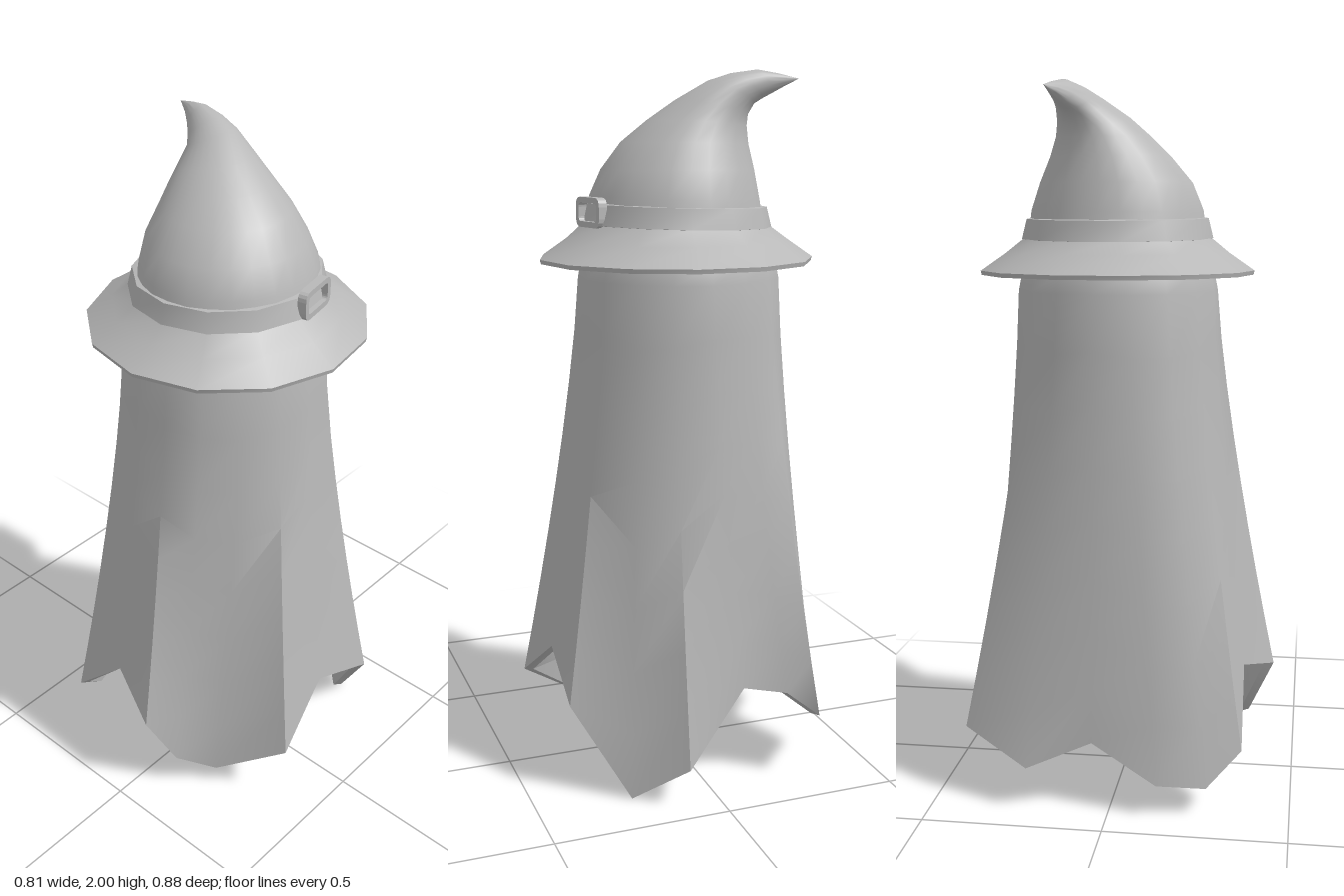
import * as THREE from 'three';
import { toCreasedNormals } from 'three/addons/utils/BufferGeometryUtils.js';

const clothGrey = new THREE.MeshStandardMaterial({ color: 0xb8b8b8 });
clothGrey.name = 'clothGrey';

// Skin a list of closed rings; rings listed upwards face outwards
function loft(rings, crease) {
  const n = rings[0].length, pos = [], idx = [];
  rings.forEach(r => r.forEach(p => pos.push(p.x, p.y, p.z)));
  for (let i = 0; i < rings.length - 1; i++) {
    for (let j = 0; j < n; j++) {
      const a = i * n + j, b = i * n + (j + 1) % n;
      idx.push(a, a + n, b, b, a + n, b + n);
    }
  }
  const g = new THREE.BufferGeometry();
  g.setAttribute('position', new THREE.Float32BufferAttribute(pos, 3));
  g.setIndex(idx);
  return toCreasedNormals(g, crease);
}

// Ring spanning a left and a right point, and a back and a front depth
function ring(n, start, [xl, yl], [xr, yr], zBack, zFront) {
  return Array.from({ length: n }, (_, j) => {
    const a = start + j / n * Math.PI * 2, c = Math.cos(a), s = Math.sin(a);
    return new THREE.Vector3(
      (xl + xr) / 2 + c * (xr - xl) / 2,
      (yl + yr) / 2 + c * (yr - yl) / 2,
      (zBack + zFront) / 2 + s * (zFront - zBack) / 2);
  });
}

function add(group, name, geometry) {
  const m = new THREE.Mesh(geometry, clothGrey);
  m.name = name;
  group.add(m);
  return m;
}

// Ragged hem corners, running round from the front notch
const HEM = [
  [-.12, .355, .36], [-.31, .17, .365], [-.36, .075, .27], [-.395, .09, .135],
  [-.36, .19, -.05], [-.395, .12, -.23], [-.31, .2, -.42], [-.23, .26, -.37],
  [-.1, .29, -.36], [.095, .11, -.445], [.23, 0, -.34], [.38, .26, -.245],
  [.37, .355, -.02], [.405, .21, .18], [.2, .065, .27], [.12, .13, .365], [.07, .3, .44],
];

function sheetGeometry() {
  const n = HEM.length, cx = -.025, cz = -.022, start = THREE.MathUtils.degToRad(102);
  const circle = (y, r) => ring(n, start, [cx - r, y], [cx + r, y], cz - r, cz + r);
  const top = circle(1.43, .287);
  // Cloth flares from the round shoulder to the hem
  const side = (t, inset) => top.map((p, j) => {
    const [hx, hy, hz] = HEM[j], w = Math.pow(1 - t, 1.3);
    const x = p.x + (hx - p.x) * w - cx, z = p.z + (hz - p.z) * w - cz;
    const k = 1 - inset / Math.hypot(x, z);
    return new THREE.Vector3(cx + x * k, hy + (p.y - hy) * t, cz + z * k);
  });
  const dome = [[1.48, .277], [1.54, .25], [1.59, .2], [1.62, .12], [1.63, 0]];
  const shell = inset => [
    ...Array.from({ length: 9 }, (_, i) => side(i / 8, inset)),
    ...dome.map(([y, r]) => circle(y - inset, Math.max(r - inset, 0))),
  ];
  return loft([...shell(.028).reverse(), ...shell(0)], 0.8);
}

export function createModel() {
  const model = new THREE.Group();
  model.name = 'ghostInHat';
  add(model, 'sheet', sheetGeometry());

  const hat = new THREE.Group();
  hat.name = 'hat';
  model.add(hat);
  const N = 13, start = THREE.MathUtils.degToRad(4.3);
  const round = (y, r, tilt = 0, cx = -.015, cz = -.025) =>
    ring(N, start, [cx - r, y - tilt], [cx + r, y + tilt], cz - r, cz + r);

  // Brim with a thin edge
  add(hat, 'brim', loft([
    round(1.56, .24), round(1.54, .29), round(1.473, .389),
    round(1.485, .392), round(1.535, .32), round(1.58, .265, .005), round(1.6, .25, .005),
  ], 0.7));

  // Band round the crown
  add(hat, 'hatBand', loft([
    round(1.573, .255, .007), round(1.576, .274, .007),
    round(1.632, .26, .007), round(1.635, .243, .007),
  ], 0.6));

  // Crown leaning over into a bent point
  const M = 26;
  add(hat, 'crown', loft([
    ring(M, start, [-.265, 1.58], [.24, 1.59], -.28, .23),
    ring(M, start, [-.252, 1.65], [.228, 1.66], -.272, .22),
    ring(M, start, [-.237, 1.73], [.197, 1.73], -.245, .19),
    ring(M, start, [-.217, 1.8], [.145, 1.805], -.212, .13),
    ring(M, start, [-.207, 1.85], [.075, 1.865], -.19, .075),
    ring(M, start, [-.204, 1.88], [0, 1.92], -.18, .025),
    ring(M, start, [-.212, 1.908], [-.08, 1.97], -.176, -.04),
    ring(M, start, [-.23, 1.922], [-.14, 1.99], -.175, -.075),
    ring(M, start, [-.252, 1.936], [-.21, 2], -.175, -.11),
    ring(M, start, [-.285, 1.956], [-.265, 1.99], -.175, -.145),
    ring(M, start, [-.322, 1.976], [-.322, 1.976], -.175, -.175),
  ], 1.1));

  // Open buckle on the band
  const roundedRect = (path, w, h, r) => {
    path.moveTo(-w + r, -h);
    path.lineTo(w - r, -h).quadraticCurveTo(w, -h, w, -h + r);
    path.lineTo(w, h - r).quadraticCurveTo(w, h, w - r, h);
    path.lineTo(-w + r, h).quadraticCurveTo(-w, h, -w, h - r);
    path.lineTo(-w, -h + r).quadraticCurveTo(-w, -h, -w + r, -h);
    return path;
  };
  const frame = roundedRect(new THREE.Shape(), .068, .041, .025);
  frame.holes.push(roundedRect(new THREE.Path(), .052, .025, .012));
  const buckle = add(hat, 'buckle', new THREE.ExtrudeGeometry(frame, {
    depth: .025, bevelEnabled: false, curveSegments: 4,
  }));
  buckle.position.set(.235, 1.617, -.067);
  buckle.rotation.set(0, 1.755, 0);

  return model;
}
